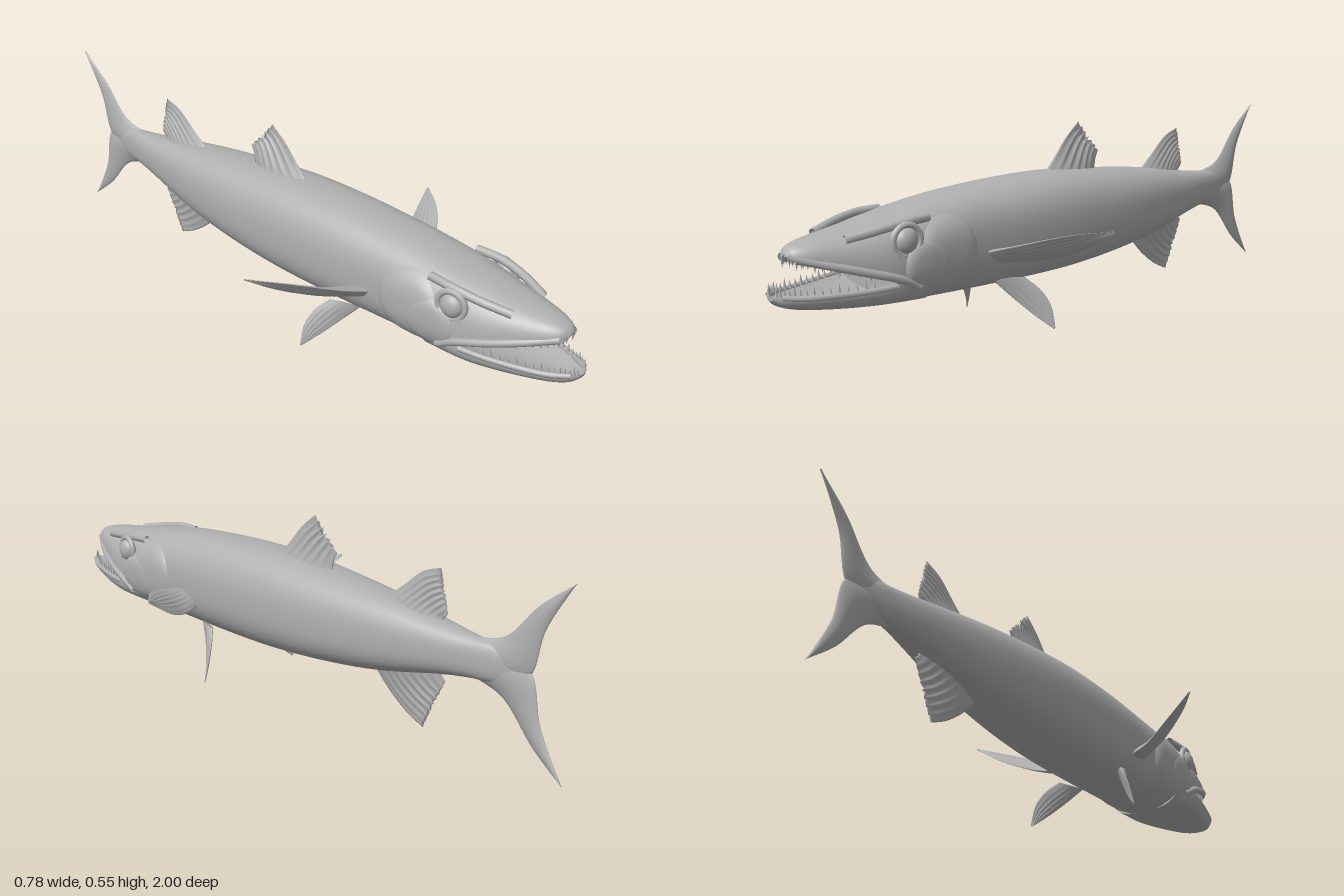
import * as THREE from 'three';

const V = (x, y, z) => new THREE.Vector3(x, y, z);
const skin = new THREE.MeshStandardMaterial({ color: 0xb0b0b0, side: THREE.DoubleSide });
skin.name = 'grey skin';

// Rings of nv points, closed around v; optional flat caps on both ends
function rings(nu, nv, fn, caps = false) {
  const pos = [], idx = [];
  for (let i = 0; i <= nu; i++)
    for (let j = 0; j < nv; j++) pos.push(...fn(i / nu, j / nv).toArray());
  for (let i = 0; i < nu; i++)
    for (let j = 0; j < nv; j++) {
      const a = i * nv + j, b = i * nv + (j + 1) % nv;
      idx.push(a, a + nv, b, b, a + nv, b + nv);
    }
  if (caps) for (const u of [0, 1]) {
    const base = pos.length / 3, c = V(0, 0, 0);
    for (let j = 0; j < nv; j++) {
      const p = fn(u, j / nv);
      c.addScaledVector(p, 1 / nv);
      pos.push(...p.toArray());
    }
    pos.push(...c.toArray());
    for (let j = 0; j < nv; j++) {
      const a = base + j, b = base + (j + 1) % nv;
      idx.push(...(u ? [a, base + nv, b] : [a, b, base + nv]));
    }
  }
  const g = new THREE.BufferGeometry();
  g.setAttribute('position', new THREE.Float32BufferAttribute(pos, 3));
  g.setIndex(idx);
  g.computeVertexNormals();
  return g;
}

// Smooth interpolation through rows of [z, a, b, c]
function stations(rows) {
  const curves = [1, 2, 3].map(c => new THREE.SplineCurve(rows.map(r => new THREE.Vector2(r[0], r[c]))));
  return t => {
    const p = curves.map(c => c.getPoint(t));
    return [p[0].x, p[0].y, p[1].y, p[2].y];
  };
}
const spow = (v, e) => Math.sign(v) * Math.pow(Math.abs(v), e);
const N = 2.5;

// z, top, bottom, half width
const bodyRows = [
  [0.7, 0.366, 0.146, 0.122], [0.6, 0.386, 0.138, 0.128], [0.5, 0.4, 0.134, 0.128], [0.4, 0.41, 0.131, 0.128],
  [0.2, 0.42, 0.128, 0.133], [0, 0.42, 0.13, 0.131], [-0.2, 0.405, 0.144, 0.119], [-0.4, 0.385, 0.169, 0.094],
  [-0.6, 0.355, 0.212, 0.059], [-0.7, 0.343, 0.228, 0.038], [-0.78, 0.335, 0.235, 0.023], [-0.87, 0.312, 0.262, 0.006],
];
// z, top, lip, half width
const upperRows = [
  [0.58, 0.388, 0.235, 0.125], [0.68, 0.373, 0.23, 0.126], [0.76, 0.358, 0.245, 0.112], [0.84, 0.347, 0.266, 0.086],
  [0.9, 0.338, 0.284, 0.061], [0.94, 0.327, 0.294, 0.036], [0.955, 0.312, 0.303, 0.012],
];
// z, bottom, lip, half width
const lowerRows = [
  [0.58, 0.138, 0.225, 0.125], [0.7, 0.146, 0.212, 0.125], [0.78, 0.152, 0.208, 0.11], [0.86, 0.16, 0.208, 0.087],
  [0.93, 0.17, 0.21, 0.063], [0.975, 0.183, 0.214, 0.04], [0.998, 0.201, 0.213, 0.014],
];

// Half width of the body surface at a given z and y
function bodyX(z, y) {
  let i = 0;
  while (i < bodyRows.length - 2 && bodyRows[i + 1][0] > z) i++;
  const a = bodyRows[i], b = bodyRows[i + 1];
  const k = (z - a[0]) / (b[0] - a[0]), [top, bot, w] = [1, 2, 3].map(c => a[c] + (b[c] - a[c]) * k);
  const v = Math.min(1, Math.abs((y - (top + bot) / 2) / ((top - bot) / 2)));
  return w * Math.pow(1 - Math.pow(v, N), 1 / N);
}

function bodyGeometry() {
  const at = stations(bodyRows);
  return rings(60, 48, (u, v) => {
    const [z, top, bot, w] = at(u), a = v * Math.PI * 2;
    return V(w * spow(Math.cos(a), 2 / N), (top + bot) / 2 + (top - bot) / 2 * spow(Math.sin(a), 2 / N), z);
  }, true);
}

// Jaw: rounded outside, hollowed on the mouth side
function jawGeometry(rows, hollow, power) {
  const at = stations(rows);
  return rings(36, 48, (u, v) => {
    const [z, outer, lip, w] = at(u), a = v * Math.PI * 2, s = Math.sin(a), c = Math.cos(a);
    if (s >= 0) return V(w * spow(c, 2 / power), lip + (outer - lip) * Math.pow(s, 2 / power), z);
    return V(w * c, lip + (outer - lip) * hollow * s * s, z);
  }, true);
}

// Raised oval plate following the body side
function platePatch(side, cz, cy, rz, ry, h) {
  return rings(16, 48, (r, v) => {
    const a = v * Math.PI * 2, z = cz + rz * r * Math.cos(a), y = cy + ry * r * Math.sin(a);
    return V(side * (bodyX(z, y) + h * (1 - Math.pow(r, 7)) - 0.003), y, z);
  });
}

// Fin spanned between leading and trailing curves, with rays and a ragged outer edge
function finGeometry(lead, trail, normal, thick, rays = 0, ragged = 0) {
  const A = new THREE.CatmullRomCurve3(lead), B = new THREE.CatmullRomCurve3(trail);
  return rings(20, 96, (t, v) => {
    const s = v < 0.5 ? 2 * v : 2 - 2 * v, side = v < 0.5 ? 1 : -1;
    const wave = Math.abs(Math.sin(s * Math.PI * Math.max(rays, 1)));
    const tt = t * (1 - ragged * wave);
    const p = A.getPoint(tt).lerp(B.getPoint(tt), s);
    const th = thick * (1 - 0.88 * t) * Math.pow(Math.sin(Math.PI * s), 0.7) * (rays ? 1 - 0.4 * wave * t : 1);
    return p.addScaledVector(normal, side * th);
  }, true);
}

export function createModel() {
  const model = new THREE.Group();
  model.name = 'fish';
  const add = (name, geo, parent = model) => {
    const m = new THREE.Mesh(geo, skin);
    m.name = name;
    parent.add(m);
    return m;
  };
  const tube = (pts, r) => new THREE.TubeGeometry(new THREE.CatmullRomCurve3(pts), 24, r, 8);

  add('body', bodyGeometry());
  add('upperJaw', jawGeometry(upperRows, 0.45, 2.5));
  add('lowerJaw', jawGeometry(lowerRows, 0.5, 2.8));

  // Teeth along both lips
  const teeth = new THREE.Group();
  teeth.name = 'teeth';
  model.add(teeth);
  for (const [rows, dir, count] of [[upperRows, -1, 13], [lowerRows, 1, 15]]) {
    const at = stations(rows);
    for (let i = 0; i < count; i++) {
      const [z, , lip, w] = at(0.3 + 0.66 * i / (count - 1));
      const h = i % 3 === 1 ? 0.03 : 0.021;
      for (const side of [-1, 1]) {
        const tooth = add('tooth', new THREE.ConeGeometry(0.0055, h, 8), teeth);
        tooth.position.set(side * w * 0.9, lip + dir * h * 0.35, z - 0.003);
        if (dir < 0) tooth.rotation.x = Math.PI;
      }
    }
  }

  // Paired head details and fins
  for (const s of [-1, 1]) {
    const P = (x, y, z) => V(s * x, y, z);
    const tag = s > 0 ? 'left' : 'right';
    add(tag + 'GillCover', platePatch(s, 0.53, 0.256, 0.102, 0.116, 0.013));
    add(tag + 'Cheek', platePatch(s, 0.598, 0.235, 0.085, 0.088, 0.015));
    const eye = add(tag + 'Eye', new THREE.SphereGeometry(0.034, 24, 16));
    eye.position.set(s * 0.116, 0.318, 0.665);
    eye.scale.x = 0.65;
    const socket = add(tag + 'EyeSocket', new THREE.TorusGeometry(0.04, 0.009, 10, 32));
    socket.position.set(s * 0.116, 0.318, 0.665);
    socket.rotation.set(0, s * (Math.PI / 2 - 0.15), 0);
    add(tag + 'Brow', tube([P(0.066, 0.335, 0.82), P(0.092, 0.35, 0.74), P(0.104, 0.362, 0.66), P(0.1, 0.365, 0.58)], 0.012));
    add(tag + 'UpperLip', tube([P(0.03, 0.298, 0.94), P(0.082, 0.27, 0.845), P(0.11, 0.246, 0.765),
      P(0.124, 0.222, 0.69), P(0.122, 0.19, 0.63)], 0.011));
    add(tag + 'LowerLip', tube([P(0.03, 0.21, 0.982), P(0.06, 0.205, 0.93), P(0.106, 0.203, 0.78), P(0.121, 0.205, 0.7)], 0.008));

    add(tag + 'PectoralFin', finGeometry(
      [P(0.11, 0.245, 0.4), P(0.2, 0.27, 0.36), P(0.31, 0.3, 0.275), P(0.39, 0.309, 0.178)],
      [P(0.11, 0.212, 0.3), P(0.2, 0.215, 0.25), P(0.29, 0.245, 0.2), P(0.385, 0.304, 0.174)],
      V(-s * 0.25, 0.88, -0.4).normalize(), 0.018, 7, 0.03));
    add(tag + 'PelvicFin', finGeometry(
      [P(0.075, 0.15, 0.325), P(0.105, 0.095, 0.275), P(0.145, 0.04, 0.225), P(0.18, 0.004, 0.19)],
      [P(0.11, 0.15, 0.235), P(0.14, 0.115, 0.205), P(0.165, 0.07, 0.188), P(0.182, 0.008, 0.187)],
      V(s * 0.85, 0.5, 0.1).normalize(), 0.014, 5, 0.03));
  }

  // Median fins
  const X = V(1, 0, 0), Q = (z, y) => V(0, y, z);
  add('frontDorsalFin', finGeometry(
    [Q(0.05, 0.405), Q(0.0, 0.455), Q(-0.05, 0.51), Q(-0.105, 0.553)],
    [Q(-0.18, 0.395), Q(-0.18, 0.42), Q(-0.185, 0.44), Q(-0.195, 0.46)], X, 0.028, 6, 0.2));
  add('rearDorsalFin', finGeometry(
    [Q(-0.39, 0.375), Q(-0.45, 0.42), Q(-0.52, 0.475), Q(-0.582, 0.497)],
    [Q(-0.6, 0.345), Q(-0.595, 0.36), Q(-0.605, 0.37), Q(-0.61, 0.38)], X, 0.024, 8, 0.12));
  add('analFin', finGeometry(
    [Q(-0.34, 0.175), Q(-0.4, 0.115), Q(-0.47, 0.065), Q(-0.535, 0.035)],
    [Q(-0.59, 0.225), Q(-0.595, 0.21), Q(-0.6, 0.2), Q(-0.61, 0.19)], X, 0.022, 8, 0.12));
  add('upperTailLobe', finGeometry(
    [Q(-0.7, 0.338), Q(-0.8, 0.365), Q(-0.9, 0.47), Q(-1, 0.545)],
    [Q(-0.72, 0.27), Q(-0.875, 0.275), Q(-0.92, 0.41), Q(-0.995, 0.54)], X, 0.022));
  add('lowerTailLobe', finGeometry(
    [Q(-0.7, 0.232), Q(-0.8, 0.2), Q(-0.9, 0.095), Q(-0.995, 0.02)],
    [Q(-0.72, 0.3), Q(-0.88, 0.295), Q(-0.92, 0.16), Q(-0.99, 0.025)], X, 0.022));
  return model;
}
